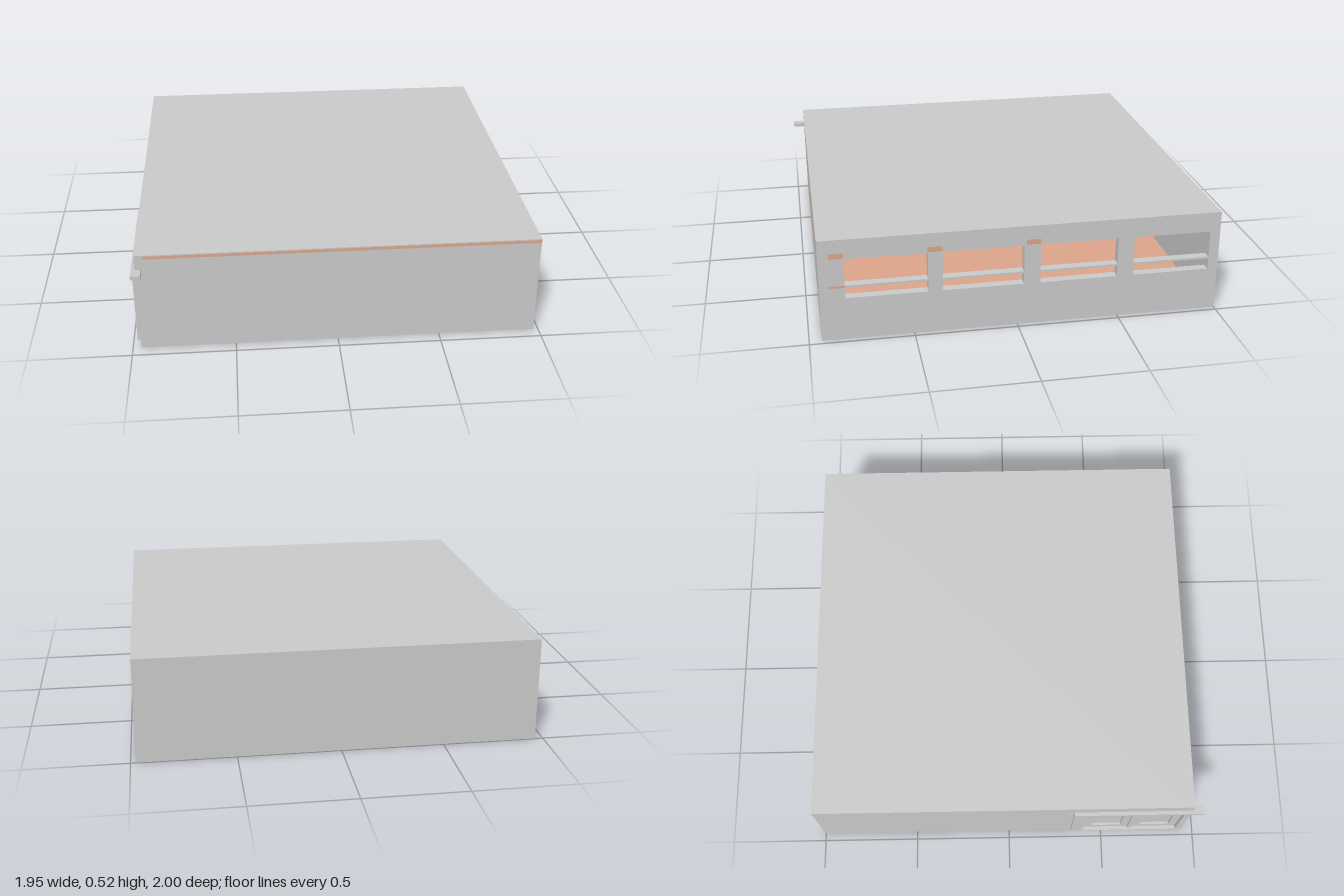
import * as THREE from 'three';

const grey = new THREE.MeshStandardMaterial({ color: 0xcccccc });
const clay = new THREE.MeshStandardMaterial({ color: 0xdea78c });

// Box given by its limits on each axis
function box(name, [x0, x1], [y0, y1], [z0, z1], material = grey) {
  const g = new THREE.BoxGeometry(x1 - x0, y1 - y0, z1 - z0);
  g.translate((x0 + x1) / 2, (y0 + y1) / 2, (z0 + z1) / 2);
  const m = new THREE.Mesh(g, material);
  m.name = name;
  return m;
}

// Upright slab along z with rectangular openings, from outline [z0, z1, y0, y1]
function slab(name, x0, x1, outline, holes) {
  const trace = (path, [z0, z1, y0, y1]) =>
    path.moveTo(z0, y0).lineTo(z1, y0).lineTo(z1, y1).lineTo(z0, y1).closePath();
  const shape = trace(new THREE.Shape(), outline);
  for (const h of holes) shape.holes.push(trace(new THREE.Path(), h));
  const g = new THREE.ExtrudeGeometry(shape, { depth: x1 - x0, bevelEnabled: false });
  g.rotateY(-Math.PI / 2).translate(x1, 0, 0);
  const m = new THREE.Mesh(g, grey);
  m.name = name;
  return m;
}

export function createModel() {
  const model = new THREE.Group();
  model.name = 'building';
  const BACK = -1, FRONT = 0.94, TOP = 0.515, LEFT = 0.975, RIGHT = -0.96, T = 0.045;

  // Floor, roof, front and back walls
  model.add(
    box('floor', [RIGHT + T, LEFT - T], [0, 0.015], [BACK + T, FRONT - T], clay),
    box('floorUnderside', [RIGHT + 0.005, LEFT - 0.005], [-0.001, 0.004], [BACK + 0.005, FRONT - 0.005], clay),
    box('roof', [RIGHT + T, LEFT - T], [0.495, TOP], [BACK + T, FRONT - T]),
    box('frontWall', [RIGHT + T, LEFT - T], [0, TOP], [FRONT - T, FRONT]),
    box('backWall', [RIGHT + T, LEFT - T], [0, TOP], [BACK, BACK + T]),
    box('roofEdgeStrip', [-0.92, LEFT], [0.495, 0.51], [FRONT - 0.01, FRONT + 0.001], clay)
  );

  // Window wall: four bays, each a tall opening over a low one
  const windows = [];
  for (const [z0, z1] of [[0.43, 0.82], [-0.03, 0.36], [-0.49, -0.11], [-0.95, -0.57]]) {
    windows.push([z0, z1, 0.28, 0.415], [z0, z1, 0.215, 0.27]);
  }
  model.add(slab('windowWall', LEFT - T, LEFT, [BACK, FRONT, 0, TOP], windows));

  // Small clay patches on the piers beside the windows
  for (const [z, y0, y1] of [[0.82, 0.42, 0.445], [0.36, 0.42, 0.445], [-0.11, 0.42, 0.445], [0.82, 0.27, 0.28]]) {
    model.add(box('pierPatch', [LEFT - 0.01, LEFT + 0.001], [y0, y1], [z, z + 0.07], clay));
  }

  // Entrance wall with a doorway
  model.add(slab('entranceWall', RIGHT, RIGHT + T, [BACK, FRONT, 0, TOP], [[0.4, 0.9, 0.04, 0.415]]));

  // Door surround, pair of doors with recessed panels, and canopy
  const entrance = new THREE.Group();
  entrance.name = 'entrance';
  entrance.add(
    slab('doorSurround', -0.975, RIGHT, [0.335, 0.93, 0.04, 0.42], [[0.4, 0.9, 0.041, 0.41]]),
    box('centrePost', [-0.965, -0.925], [0.04, 0.415], [0.64, 0.66]),
    box('canopy', [-0.978, -0.93], [0.42, 0.44], [0.335, 1])
  );
  for (const [z0, z1] of [[0.4, 0.64], [0.66, 0.9]]) {
    entrance.add(
      slab('doorFrame', -0.955, -0.93, [z0, z1, 0.04, 0.415], [[z0 + 0.045, z1 - 0.04, 0.08, 0.395]]),
      box('doorPanel', [-0.943, -0.937], [0.08, 0.395], [z0 + 0.045, z1 - 0.04])
    );
  }
  model.add(entrance);
  return model;
}
